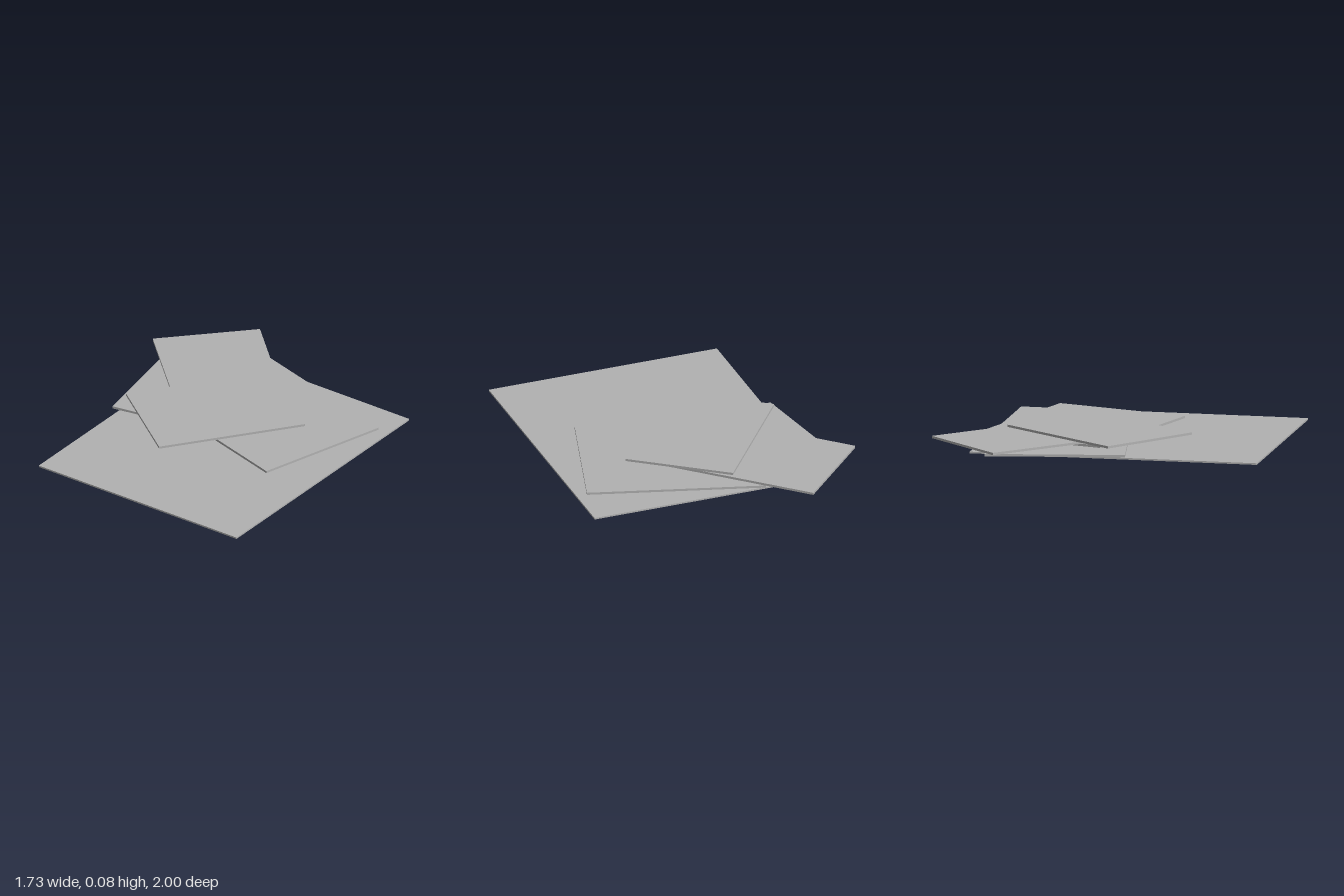
import * as THREE from 'three';

export function createModel() {
  const model = new THREE.Group();
  const grey = new THREE.MeshStandardMaterial({ color: 0xb2b2b2 });
  grey.name = 'plain grey';

  // flat rectangular sheet: centre, bottom and top height, size, and direction of its width edge
  function sheet(name, cx, cz, y0, y1, width, depth, dx = 1, dz = 0) {
    const mesh = new THREE.Mesh(new THREE.BoxGeometry(width, y1 - y0, depth), grey);
    mesh.name = name;
    mesh.position.set(cx, (y0 + y1) / 2, cz);
    mesh.rotation.y = -Math.atan2(dz, dx);
    model.add(mesh);
  }

  // large base board with four loose sheets stacked on it, bottom to top
  sheet('baseBoard', 0.142, 0.132, 0, 0.01, 1.446, 1.736);
  sheet('lowestSheet', -0.38, -0.252, 0.02, 0.034, 0.62, 0.832, 0.61, -0.104);
  sheet('wideSheet', 0.192, -0.235, 0.035, 0.049, 1.062, 0.839, 1.02, 0.295);
  sheet('cornerSheet', -0.285, -0.425, 0.05, 0.064, 0.99, 0.644, 0.715, 0.685);
  sheet('topSheet', -0.062, -0.062, 0.065, 0.079, 0.661, 0.903, 0.53, 0.395);

  return model;
}
